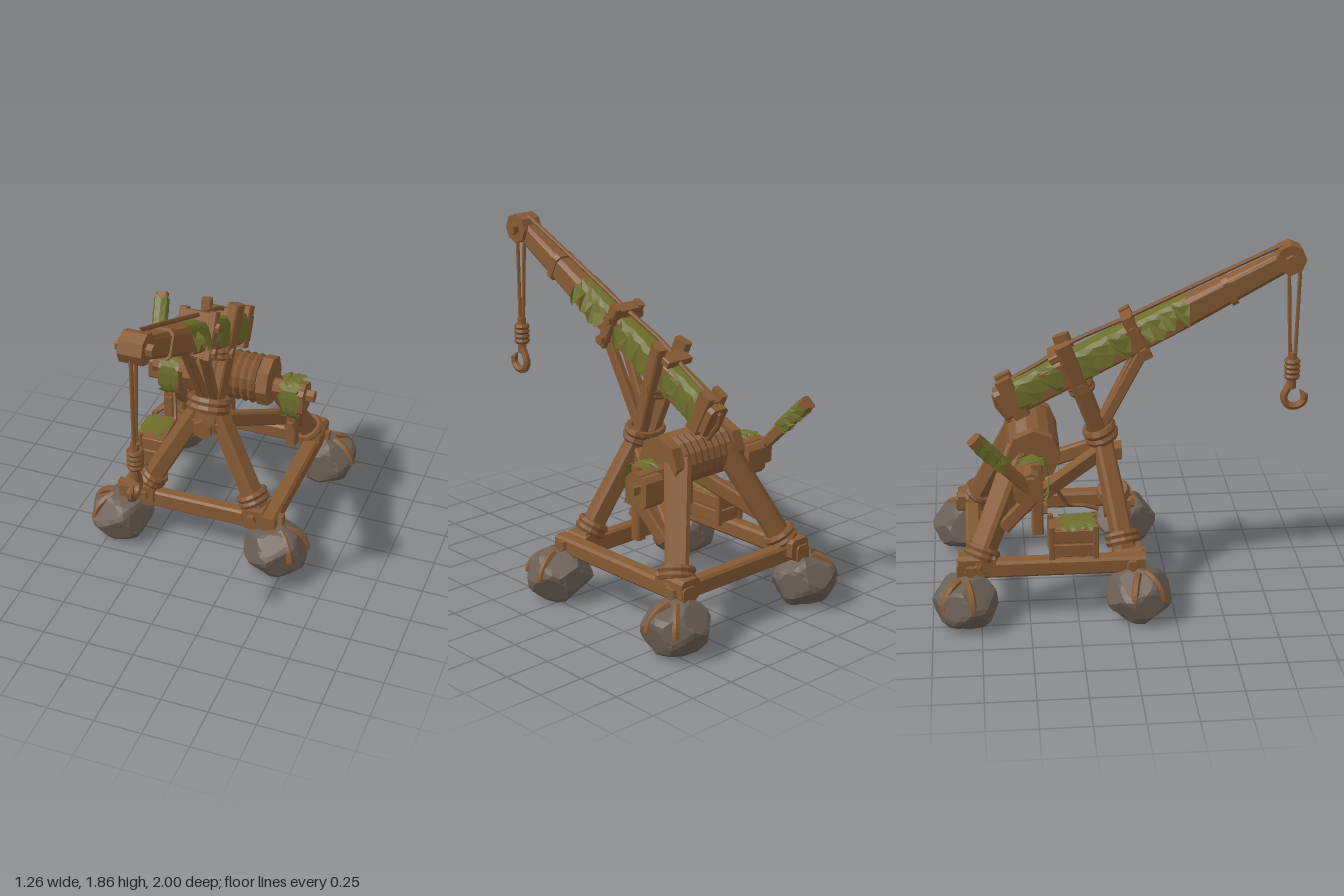
import * as THREE from 'three';

const V = (x, y, z) => new THREE.Vector3(x, y, z);
const paint = (name, color, extra = {}) => {
  const m = new THREE.MeshStandardMaterial({ color, flatShading: true, ...extra });
  m.name = name;
  return m;
};

export function createModel() {
  const root = new THREE.Group();
  root.name = 'woodenCrane';
  const wood = paint('wood', 0x865a34);
  const rope = paint('rope', 0x805532);
  const moss = paint('moss', 0x6d6e2b, { side: THREE.DoubleSide });
  const rock = paint('rock', 0x6b5f55);

  const add = (name, geo, mat) => {
    const m = new THREE.Mesh(geo, mat);
    m.name = name;
    root.add(m);
    return m;
  };

  // Chamfered timber from a to b, width w, height h, scaled by the tapers at b
  const beam = (name, a, b, w, h, taperX = 1, taperY = taperX) => {
    const c = Math.min(w, h) * 0.16, x = w / 2, y = h / 2, L = a.distanceTo(b);
    const s = new THREE.Shape([[x, y - c], [x - c, y], [c - x, y], [-x, y - c], [-x, c - y], [c - x, -y], [x - c, -y], [x, c - y]]
      .map(p => new THREE.Vector2(...p)));
    const g = new THREE.ExtrudeGeometry(s, { depth: L, bevelEnabled: false });
    const p = g.attributes.position;
    for (let i = 0; i < p.count; i++) {
      const t = p.getZ(i) / L;
      p.setXY(i, p.getX(i) * (1 + (taperX - 1) * t), p.getY(i) * (1 + (taperY - 1) * t));
    }
    g.computeVertexNormals();
    const m = add(name, g, wood);
    m.position.copy(a);
    m.lookAt(b);
  };

  // Round bar between two points
  const bar = (name, a, b, r, sides = 6, r2 = r) => {
    const g = new THREE.CylinderGeometry(r2, r, a.distanceTo(b), sides).rotateX(Math.PI / 2);
    const m = add(name, g, wood);
    m.position.copy(a).lerp(b, 0.5);
    m.lookAt(b);
  };
  const tube = (name, pts, r, mat = rope, n = 16) =>
    add(name, new THREE.TubeGeometry(new THREE.CatmullRomCurve3(pts), n, r, 6), mat);

  // Rope rings stacked along a direction
  const coil = (name, at, dir, rx, ry, t, count) => {
    for (let i = 0; i < count; i++) {
      const m = add(name, new THREE.TorusGeometry(1, t / rx, 6, 14), rope);
      m.scale.set(rx, ry, rx);
      m.position.copy(at).addScaledVector(dir, (i - (count - 1) / 2) * t * 1.7);
      m.lookAt(m.position.clone().add(dir));
    }
  };

  // Ragged moss sheet draped over the line a-b; lean turns it to one side
  const drape = (name, a, b, rx, ry, spread, n = 8, flare = 1.12, lean = 0) => {
    const L = a.distanceTo(b), pos = [], idx = [], J = 8;
    const bulge = v => Math.sign(v) * Math.abs(v) ** 0.65;
    for (let i = 0; i <= n; i++) for (let j = 0; j <= J; j++) {
      const limit = spread * (i % 2 ? 0.95 + 0.06 * Math.sin(i * 1.7) : 0.78 + 0.09 * Math.sin(i * 2.3));
      const ang = lean + limit * (j / J * 2 - 1);
      const out = j === 0 || j === J ? flare : 1;
      const rag = i === 0 || i === n ? (j % 2 ? 0.016 : -0.012) * (i ? 1 : -1) : 0;
      pos.push(bulge(Math.sin(ang)) * rx * out, bulge(Math.cos(ang)) * ry, L * i / n + rag);
      if (i < n && j < J) {
        const k = i * (J + 1) + j;
        idx.push(k, k + J + 1, k + 1, k + 1, k + J + 1, k + J + 2);
      }
    }
    const g = new THREE.BufferGeometry();
    g.setAttribute('position', new THREE.Float32BufferAttribute(pos, 3));
    g.setIndex(idx);
    g.computeVertexNormals();
    const m = add(name, g, moss);
    m.position.copy(a);
    m.lookAt(b);
  };

  // Boulder feet: a ball sliced by tilted planes into broad facets
  const boulder = (x, z, seed) => {
    const cuts = Array.from({ length: 14 }, (_, i) => {
      const y = 1 - 2 * (i + 0.5) / 14, a = i * 2.4 + seed, r = Math.sqrt(1 - y * y);
      return V(r * Math.cos(a), y, r * Math.sin(a));
    });
    const g = new THREE.IcosahedronGeometry(1.1, 4), p = g.attributes.position;
    for (let i = 0; i < p.count; i++) {
      const v = V(0, 0, 0).fromBufferAttribute(p, i);
      cuts.forEach((d, k) => {
        const over = v.dot(d) - (0.93 + 0.05 * Math.sin(k * 3 + seed));
        if (over > 0) v.addScaledVector(d, -over);
      });
      p.setXYZ(i, v.x * 0.167, Math.max(v.y * 0.14, -0.125), v.z * 0.161);
    }
    add('boulder', g, rock).position.set(x, 0.125, z);
  };
  // Wooden strap bent down over a boulder at a compass angle
  const strap = (x, z, angle) => {
    const pts = [1.3, 0.95, 0.6, 0.3, 0.05].map(e => V(
      x + Math.cos(angle) * Math.cos(e) * 0.163, 0.125 + Math.sin(e) * 0.137, z + Math.sin(angle) * Math.cos(e) * 0.157));
    tube('boulderStrap', pts, 0.02, wood, 10);
  };

  for (const s of [-1, 1]) {
    for (const [x, z, o] of [[0.45, 0.065, 1], [0.455, -0.83, -1]]) {
      boulder(s * x, z, s + 3.5 - 1.5 * o);
      for (const turn of [-0.25, 0.8]) {
        const a = turn * o;
        strap(s * x, z, s > 0 ? a : Math.PI - a);
      }
    }
    // Base side rails and corner joints
    beam('sideRail', V(s * 0.405, 0.285, 0.1), V(s * 0.405, 0.285, -0.87), 0.085, 0.09);
    beam('frontJoint', V(s * 0.32, 0.28, -0.06), V(s * 0.32, 0.28, 0.085), 0.13, 0.12);
    bar('jointBolt', V(s * 0.31, 0.29, 0.08), V(s * 0.31, 0.29, 0.11), 0.032, 5);
    beam('rearJoint', V(s * 0.39, 0.31, -0.67), V(s * 0.39, 0.31, -0.86), 0.12, 0.11);
    for (const z of [-0.8, 0.03])
      bar('railBolt', V(s * 0.44, 0.29, z), V(s * 0.475, 0.29, z), 0.032, 5);

    // Front legs
    const f0 = V(s * 0.34, 0.27, 0.01), f1 = V(s * 0.035, 0.84, -0.1);
    beam('frontLeg', f0, f1, 0.1, 0.1, 0.95);
    coil('frontLegBinding', f0.clone().lerp(f1, 0.17), f1.clone().sub(f0).normalize(), 0.074, 0.066, 0.02, 2);
    // Rear legs
    const r0 = V(s * 0.4, 0.28, -0.77), r1 = V(s * 0.16, 0.84, -0.52);
    beam('rearLeg', r0, r1, 0.115, 0.105, 1.2, 1.1);
    coil('rearLegBinding', r0.clone().lerp(r1, 0.13), r1.clone().sub(r0).normalize(), 0.078, 0.073, 0.02, 2);
    // Struts tying the front apex to the rear legs
    beam('strut', V(s * 0.04, 0.77, -0.08), V(s * 0.3, 0.48, -0.65), 0.06, 0.08);
    bar('strutBolt', V(s * 0.05, 0.75, -0.06), V(s * 0.1, 0.75, -0.06), 0.03, 6);

    // Mast posts either side of the boom
    beam('mastPost', V(s * 0.035, 0.8, -0.09), V(s * 0.085, 1.365, -0.3), 0.055, 0.085);
    bar('mastBolt', V(s * 0.1, 1.12, -0.2), V(s * 0.065, 1.12, -0.2), 0.032, 6);
    beam('boomBrace', V(s * 0.03, 0.88, -0.1), V(s * 0.05, 1.29, 0.11), 0.045, 0.055);

    // Axle housings with moss over the top and front
    beam('axleHousing', V(s * 0.3, 0.725, -0.495), V(s * 0.42, 0.725, -0.495), 0.15, 0.16);
    beam('housingPost', V(s * 0.36, 0.45, -0.45), V(s * 0.36, 0.84, -0.45), 0.06, 0.06);
    beam('housingFoot', V(s * 0.335, 0.48, -0.62), V(s * 0.37, 0.66, -0.47), 0.06, 0.07);
    bar('housingBolt', V(s * 0.355, 0.58, -0.4), V(s * 0.355, 0.58, -0.45), 0.03, 5);
    bar('axleNut', V(s * 0.42, 0.745, -0.5), V(s * 0.465, 0.745, -0.5), 0.035, 6);
    drape('housingMoss', V(s * 0.3, 0.74, -0.48), V(s * 0.4, 0.74, -0.48), 0.092, 0.118, 1.75, 5, 1.05, -s * 1.05);
    // Drum flanges
    bar('drumFlange', V(s * 0.18, 0.82, -0.46), V(s * 0.24, 0.82, -0.46), 0.14, 8);
  }

  // Base cross beams and apex fittings
  beam('frontRail', V(-0.4, 0.25, 0.025), V(0.4, 0.25, 0.025), 0.07, 0.1);
  beam('rearRail', V(-0.4, 0.28, -0.78), V(0.4, 0.28, -0.78), 0.08, 0.09);
  beam('apexBlock', V(0, 0.7, -0.07), V(0, 0.87, -0.1), 0.14, 0.1);
  bar('apexBolt', V(0, 0.74, -0.03), V(0, 0.74, 0.01), 0.055, 6);
  coil('apexBinding', V(0, 0.85, -0.1), V(0, 0.94, -0.34).normalize(), 0.1, 0.075, 0.024, 2);
  coil('mastBinding', V(0, 1.11, -0.2), V(0, 0.94, -0.34).normalize(), 0.075, 0.06, 0.018, 2);
  beam('hangingPeg', V(0, 0.54, -0.42), V(0, 0.75, -0.42), 0.06, 0.05);

  // Winch drum, rope winding and axle
  bar('winchDrum', V(-0.19, 0.82, -0.46), V(0.19, 0.82, -0.46), 0.11, 10);
  coil('drumRope', V(0, 0.82, -0.46), V(1, 0, 0), 0.114, 0.114, 0.025, 8);
  bar('axle', V(-0.46, 0.775, -0.48), V(0.42, 0.775, -0.48), 0.05, 8);

  // Crank arm and mossy handle
  beam('crankHub', V(-0.42, 0.74, -0.5), V(-0.49, 0.74, -0.5), 0.1, 0.13);
  const c0 = V(-0.46, 0.73, -0.48), c1 = V(-0.525, 1.05, -0.765);
  beam('crankArm', c0, c1, 0.05, 0.055, 1.3);
  drape('crankMoss', c0.clone().lerp(c1, 0.5), c0.clone().lerp(c1, 0.92), 0.044, 0.044, 3.1, 6);

  // Boom, widest ahead of its middle and tapering towards the tip
  const b0 = V(0, 1.02, -0.62), b1 = V(0, 1.765, 0.86);
  const dir = b1.clone().sub(b0).normalize(), up = V(0, dir.z, -dir.y);
  const onBoom = (z, lift = 0) => b0.clone().lerp(b1, (z - b0.z) / (b1.z - b0.z)).addScaledVector(up, lift);
  beam('boomRear', b0, onBoom(0.3), 0.115, 0.172, 1.27, 0.85);
  beam('boomFront', onBoom(0.3), b1, 0.146, 0.146, 0.5, 0.75);
  const clamp = (z, w, h, t, lift = 0) =>
    beam('boomClamp', onBoom(z, lift).addScaledVector(dir, -t / 2), onBoom(z, lift).addScaledVector(dir, t / 2), w, h);
  clamp(0.56, 0.13, 0.155, 0.035);
  clamp(0.09, 0.165, 0.2, 0.05);
  for (const s of [-1, 1]) {
    beam('clampPost', onBoom(0.09, -0.11).setX(s * 0.08), onBoom(0.09, 0.14).setX(s * 0.08), 0.04, 0.06);
    for (const l of [-0.07, 0.06])
      bar('clampBolt', onBoom(0.09, l).setX(s * 0.09), onBoom(0.09, l).setX(s * 0.12), 0.027, 6);
    beam('rearClampPost', onBoom(-0.55, -0.1).setX(s * 0.045), onBoom(-0.55, 0.13).setX(s * 0.045), 0.04, 0.085);
  }
  clamp(0.09, 0.17, 0.04, 0.06, 0.11);
  clamp(-0.55, 0.11, 0.2, 0.07);
  clamp(-0.28, 0.17, 0.04, 0.075, 0.11);
  drape('boomMoss', onBoom(0.36), onBoom(0.13), 0.084, 0.088, 2.0, 7, 1.4);
  drape('boomMoss', onBoom(0.05), onBoom(-0.23), 0.08, 0.094, 2.3, 7, 1.15);
  drape('boomMoss', onBoom(-0.3), onBoom(-0.53), 0.07, 0.098, 2.4, 5, 1.05);

  // Tip pulley and ropes
  bar('tipBlock', V(-0.06, 1.775, 0.87), V(0.06, 1.775, 0.87), 0.08, 8);
  bar('tipPin', V(-0.092, 1.775, 0.87), V(0.092, 1.775, 0.87), 0.032, 6);
  tube('boomRope', [V(0, 1.842, 0.83), V(0, 1.715, 0.55), V(0, 1.58, 0.26), V(0, 1.46, 0), V(0, 1.355, -0.24), V(0, 1.25, -0.4),
    V(0, 1.15, -0.57), V(0, 1.06, -0.655), V(0, 0.92, -0.57)], 0.012, rope, 32);
  bar('hangingRope', V(0, 1.22, 0.918), V(0, 1.74, 0.928), 0.01);
  bar('hangingRope', V(0, 1.22, 0.892), V(0, 1.74, 0.868), 0.01);

  // Hook with bound shank
  bar('hookShank', V(0, 1.06, 0.905), V(0, 1.26, 0.905), 0.024, 8);
  coil('hookBinding', V(0, 1.17, 0.905), V(0, 1, 0), 0.028, 0.028, 0.016, 4);
  tube('hook', [V(0, 1.1, 0.905), V(0, 1.06, 0.885), V(0, 1.01, 0.865), V(0, 0.965, 0.89), V(0, 0.96, 0.935), V(0, 0.985, 0.972), V(0, 1.025, 0.975)], 0.021, wood);
  bar('hookPoint', V(0, 1.01, 0.978), V(0, 1.05, 0.95), 0.022, 6, 0.004);

  // Slatted crate
  const cx = -0.35, cz = -0.27;
  add('crateCore', new THREE.BoxGeometry(0.145, 0.15, 0.215), wood).position.set(cx, 0.415, cz);
  for (const s of [-1, 1]) {
    for (const y of [0.375, 0.455]) {
      beam('crateSlat', V(cx + s * 0.077, y, cz - 0.12), V(cx + s * 0.077, y, cz + 0.12), 0.018, 0.068);
      beam('crateSlat', V(cx - 0.08, y, cz + s * 0.113), V(cx + 0.08, y, cz + s * 0.113), 0.018, 0.068);
    }
    for (const t of [-1, 1])
      beam('cratePost', V(cx + s * 0.077, 0.33, cz + t * 0.113), V(cx + s * 0.077, 0.51, cz + t * 0.113), 0.03, 0.03);
  }
  drape('crateMoss', V(cx - 0.01, 0.485, cz + 0.11), V(cx - 0.01, 0.485, cz - 0.06), 0.088, 0.042, 1.5, 7);
  tube('looseRope', [V(-0.27, 0.53, -0.13), V(-0.265, 0.55, -0.2), V(-0.265, 0.56, -0.28), V(-0.28, 0.61, -0.32), V(-0.3, 0.68, -0.36)], 0.011);
  return root;
}
